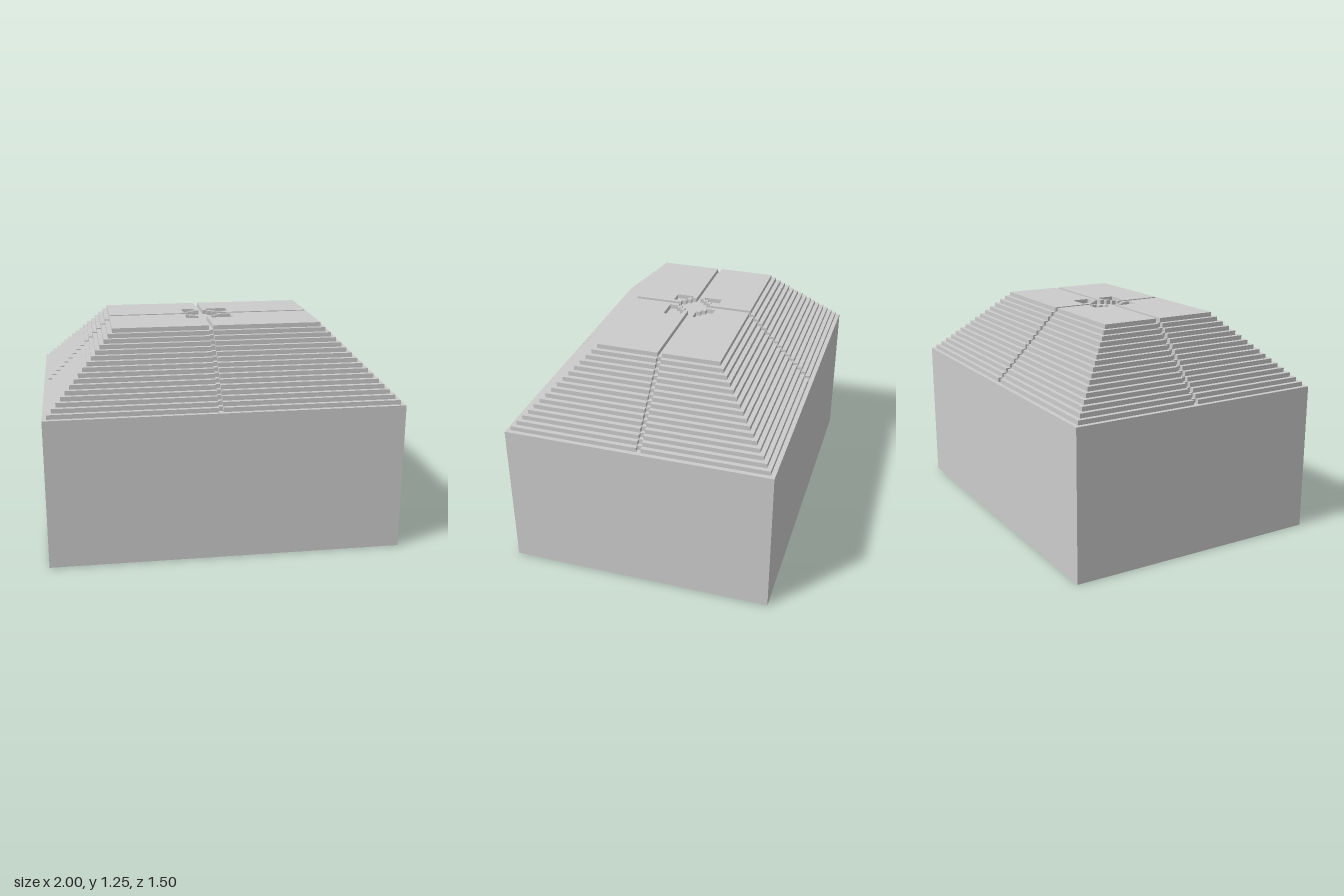
import * as THREE from 'three';

const U = 0.025; // size of one grid unit
const STEPS = 16;
const BASE = { x: 1, y: 0.85, z: 0.75 };
// channel edges in x and z, one unit wide
const CX = [-0.05, -0.025];
const CZ = [-0.025, 0];

export function createModel() {
  const model = new THREE.Group();
  const material = new THREE.MeshStandardMaterial({ color: 0xcccccc, flatShading: true });

  const add = (name, geometry) => {
    const mesh = new THREE.Mesh(geometry, material);
    mesh.name = name;
    model.add(mesh);
    return mesh;
  };

  // one-unit-thick slab from an outline of [x, z] points, with its top at y = top
  const slab = (name, points, top) => {
    const shape = new THREE.Shape(points.map(([x, z]) => new THREE.Vector2(x, z)));
    const geometry = new THREE.ExtrudeGeometry(shape, { depth: U, bevelEnabled: false });
    geometry.rotateX(Math.PI / 2);
    add(name, geometry).position.y = top;
  };

  // solid lower block
  const block = new THREE.BoxGeometry(BASE.x * 2, BASE.y, BASE.z * 2);
  add('base', block).position.y = BASE.y / 2;

  // stepped slope, each step notched where the channels run down it
  for (let i = 1; i < STEPS; i++) {
    const x = BASE.x - i * U, z = BASE.z - i * U;
    const xi = x - U, zi = z - U;
    slab('step' + i, [
      [-x, -z], [CX[0], -z], [CX[0], -zi], [CX[1], -zi], [CX[1], -z],
      [x, -z], [x, CZ[0]], [xi, CZ[0]], [xi, CZ[1]], [x, CZ[1]],
      [x, z], [CX[1], z], [CX[1], zi], [CX[0], zi], [CX[0], z],
      [-x, z], [-x, CZ[1]], [-xi, CZ[1]], [-xi, CZ[0]], [-x, CZ[0]],
    ], BASE.y + i * U);
  }

  // top layer: four panels parted by the channels, with corner pockets and small posts
  const top = BASE.y + STEPS * U;
  const endX = BASE.x - STEPS * U, endZ = BASE.z - STEPS * U;
  for (const sx of [-1, 1]) {
    for (const sz of [-1, 1]) {
      const x0 = sx < 0 ? CX[0] : CX[1];
      const z0 = sz < 0 ? CZ[0] : CZ[1];
      const w = (endX - sx * x0) / U, h = (endZ - sz * z0) / U;
      const pocket = sx < 0 ? 4 : 6;
      const place = ([u, v]) => [x0 + sx * u * U, z0 + sz * v * U];

      slab('topPanel', [
        [0, h], [0, 3], [1, 3], [1, 5], [pocket, 5],
        [pocket, 1], [3, 1], [3, 0], [w, 0], [w, h],
      ].map(place), top);

      for (const [u, v] of [[1, 2], [2, 1]]) {
        slab('post', [[u, v], [u + 1, v], [u + 1, v + 1], [u, v + 1]].map(place), top);
      }
    }
  }

  return model;
}
